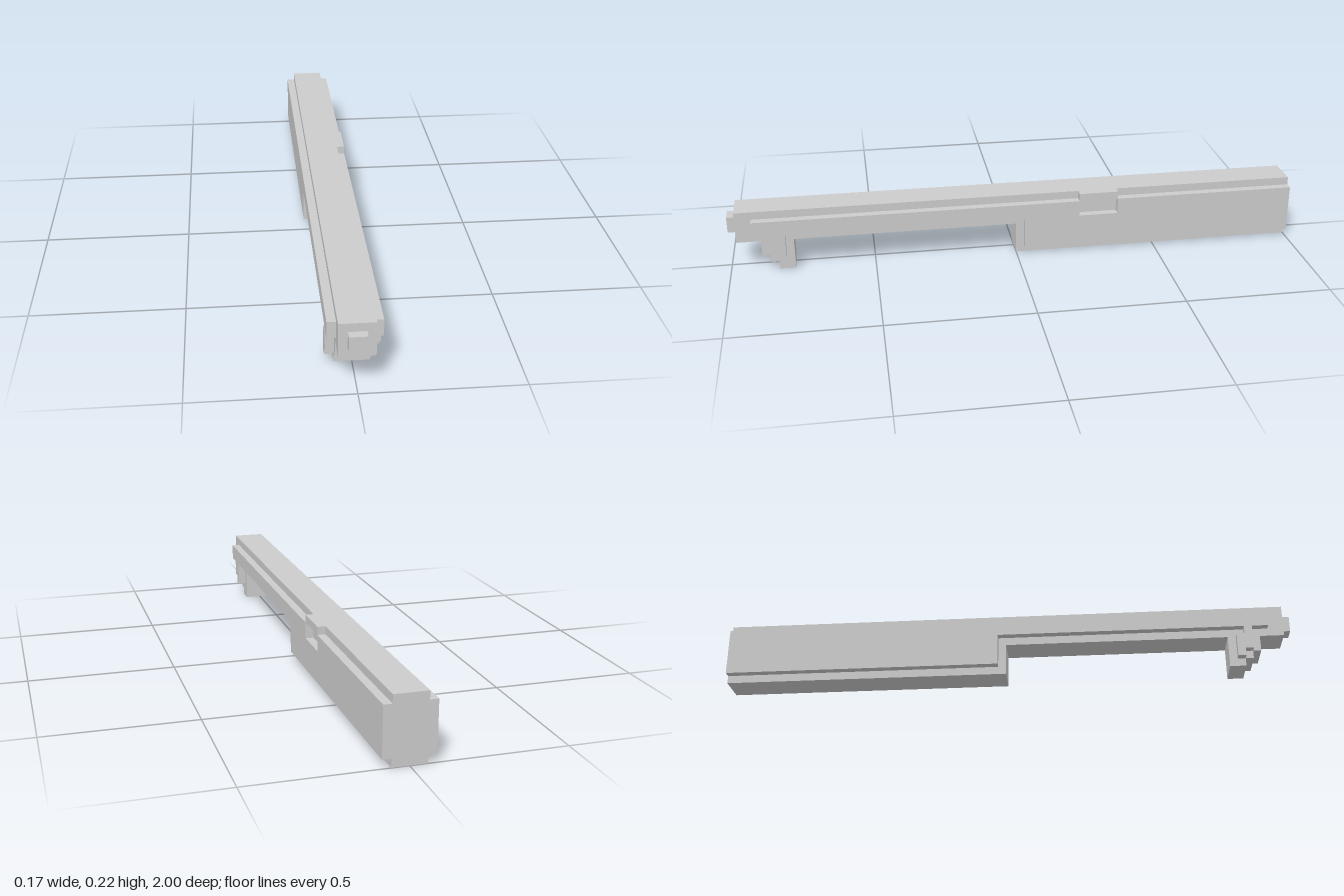
import * as THREE from 'three';

const U = 1 / 36; // grid step: the model is 72 steps long, 8 high, 6 wide

export function createModel() {
  const group = new THREE.Group();
  const material = new THREE.MeshStandardMaterial({ color: 0xcccccc, flatShading: true });

  // Extrudes a side outline of [z, y] grid points between x0 and x1
  function slab(name, points, x0, x1, holes = []) {
    const toVec = ([z, y]) => new THREE.Vector2(-z * U, y * U);
    const shape = new THREE.Shape(points.map(toVec));
    for (const h of holes) shape.holes.push(new THREE.Path(h.map(toVec)));
    const geo = new THREE.ExtrudeGeometry(shape, { depth: (x1 - x0) * U, bevelEnabled: false });
    geo.rotateY(Math.PI / 2);
    geo.translate(x0 * U, 0, 0);
    const mesh = new THREE.Mesh(geo, material);
    mesh.name = name;
    group.add(mesh);
  }
  const rect = (z0, z1, y0, y1) => [[z0, y0], [z1, y0], [z1, y1], [z0, y1]];

  // Central body: deep rear, slim front and a stepped foot
  slab('body', [
    [-36, 0], [0, 0], [0, 4], [28, 4], [28, 0], [30, 0], [30, 1], [31, 1],
    [31, 2], [32, 2], [32, 4], [35, 4], [35, 8], [-36, 8],
  ], -2, 2);

  // Right side plate with stepped leg and a recessed port
  const rearAndRail = [[-36, 1], [-1, 1], [-1, 5]];
  const railEnd = [[33, 5], [33, 7]];
  const z0 = -13, z1 = -8;
  slab('rightPlate', [
    ...rearAndRail, [29, 5], [29, 2], [30, 2], [30, 3], [31, 3], [31, 5], ...railEnd,
    [z1, 7], [z1, 5], [z0, 5], [z0, 7], [-36, 7],
  ], 2, 3);
  slab('portCover', rect(z0, z1, 7, 8), 2, 3);

  // Left side plate and its staggered leg
  slab('leftPlate', [...rearAndRail, ...railEnd, [-36, 7]], -3, -2);
  slab('leftLeg', [
    [29, 1], [30, 1], [30, 2], [31, 2], [31, 5], [30, 5], [30, 4], [29, 4],
  ], -3, -2);

  // Front nub
  slab('nub', rect(35, 36, 5, 7), -1, 1);

  return group;
}
